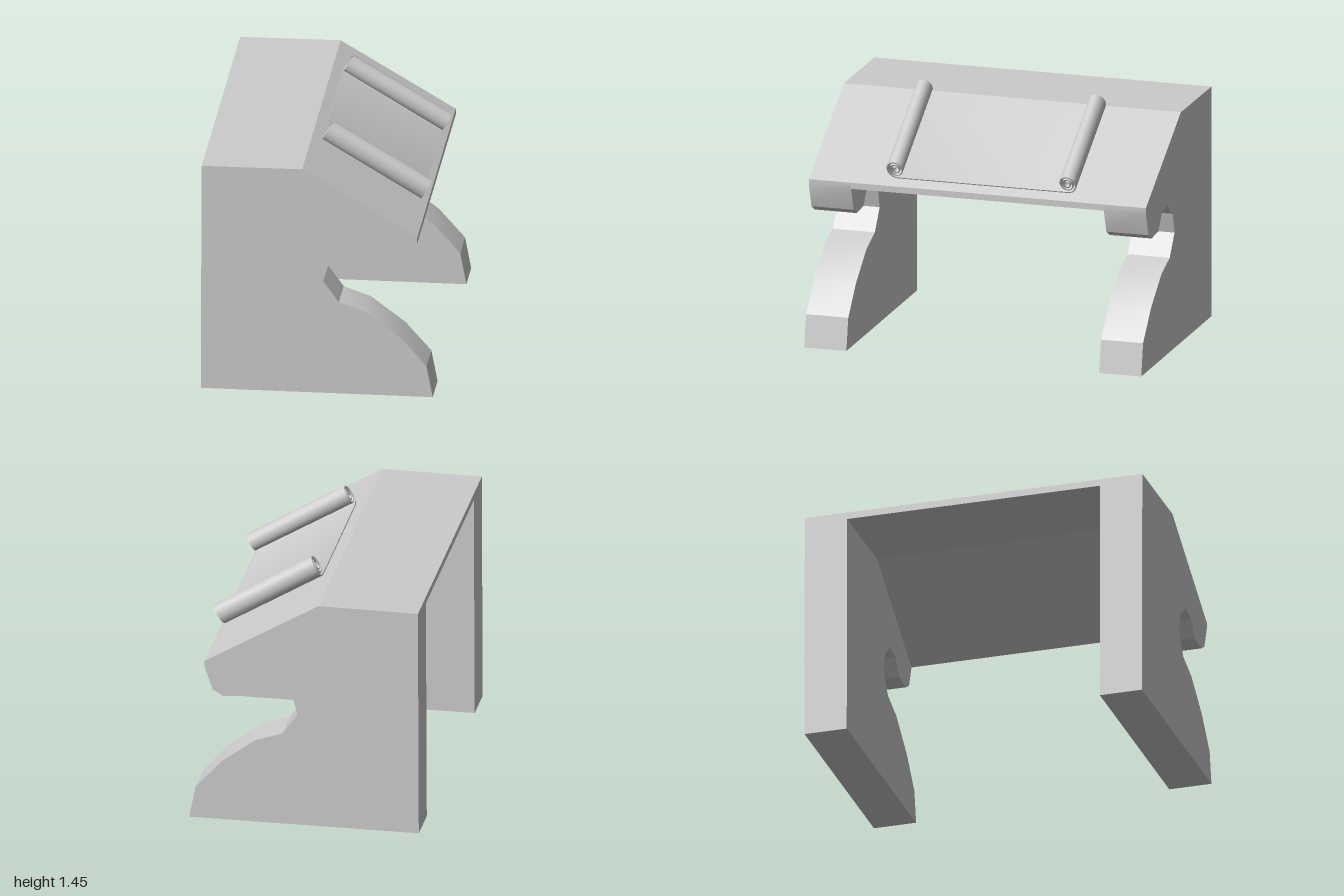
import * as THREE from 'three';
import { toCreasedNormals } from 'three/addons/utils/BufferGeometryUtils.js';

const material = new THREE.MeshStandardMaterial({ color: 0xcccccc, side: THREE.DoubleSide });
const toShape = (points) => new THREE.Shape(points.map(([x, y]) => new THREE.Vector2(x, y)));

// Extrudes a profile along z, starting at z0
function extrude(name, shape, depth, z0, crease) {
  const geometry = new THREE.ExtrudeGeometry(shape, { depth, bevelEnabled: false, curveSegments: 1 });
  geometry.translate(0, 0, z0);
  const mesh = new THREE.Mesh(toCreasedNormals(geometry, crease), material);
  mesh.name = name;
  return mesh;
}

// Centre line of the paper: a coil at each end joined by a flat sheet
function scrollLine() {
  const turns = 2.6, perTurn = 14, count = Math.round(turns * perTurn);
  const coil = (centre, side) => Array.from({ length: count + 1 }, (_, i) => {
    const shrink = 1 - 0.8 * (i / count);
    const a = (i / perTurn) * Math.PI * 2;
    return new THREE.Vector2(
      centre + side * Math.sin(a) * 0.053 * shrink,
      0.07 - Math.cos(a) * 0.066 * shrink);
  });
  return [...coil(-0.487, -1).reverse(), ...coil(0.532, 1)];
}

// Gives an open line a thickness and closes it into a shape
function thicken(line, thickness) {
  const offset = (side) => line.map((p, i) => {
    const a = line[Math.max(i - 1, 0)], b = line[Math.min(i + 1, line.length - 1)];
    const t = b.clone().sub(a).normalize();
    return new THREE.Vector2(p.x - t.y * side * thickness / 2, p.y + t.x * side * thickness / 2);
  });
  return new THREE.Shape([...offset(-1), ...offset(1).reverse()]);
}

export function createModel() {
  const model = new THREE.Group();
  model.name = 'readingStand';

  // Two side panels with a hooked notch at the front
  const sideProfile = toShape([
    [-0.66, 0], [0.66, 0], [0.625, 0.186], [0.478, 0.352], [0.281, 0.5], [0.126, 0.554],
    [0.037, 0.678], [0.072, 0.798], [0.172, 0.875], [0.269, 0.86], [0.339, 0.767],
    [0.466, 0.759], [0.525, 0.794], [0.572, 0.93], [0.572, 0.966], [-0.083, 1.354], [-0.655, 1.35],
  ]);
  model.add(extrude('leftPanel', sideProfile, 0.25, 0.75, 0.35));
  model.add(extrude('rightPanel', sideProfile, 0.25, -1, 0.35));

  // Thin bent top between the panels
  const topProfile = toShape([
    [-0.655, 1.35], [-0.655, 1.31], [-0.083, 1.314], [0.572, 0.93], [0.572, 0.966], [-0.083, 1.354],
  ]);
  model.add(extrude('slopedTop', topProfile, 1.5, -0.75, 0.1));

  // Paper scroll lying on the slope, rolled at both ends
  const scroll = extrude('scroll', thicken(scrollLine(), 0.007), 0.655, 0, 0.7);
  const along = new THREE.Vector3(0.561, -0.337, 0).normalize();
  const normal = new THREE.Vector3(-along.y, along.x, 0);
  const across = new THREE.Vector3(0, 0, -1);
  scroll.quaternion.setFromRotationMatrix(new THREE.Matrix4().makeBasis(across, normal, along));
  scroll.position.set(-0.025, 1.342, 0);
  model.add(scroll);

  return model;
}
